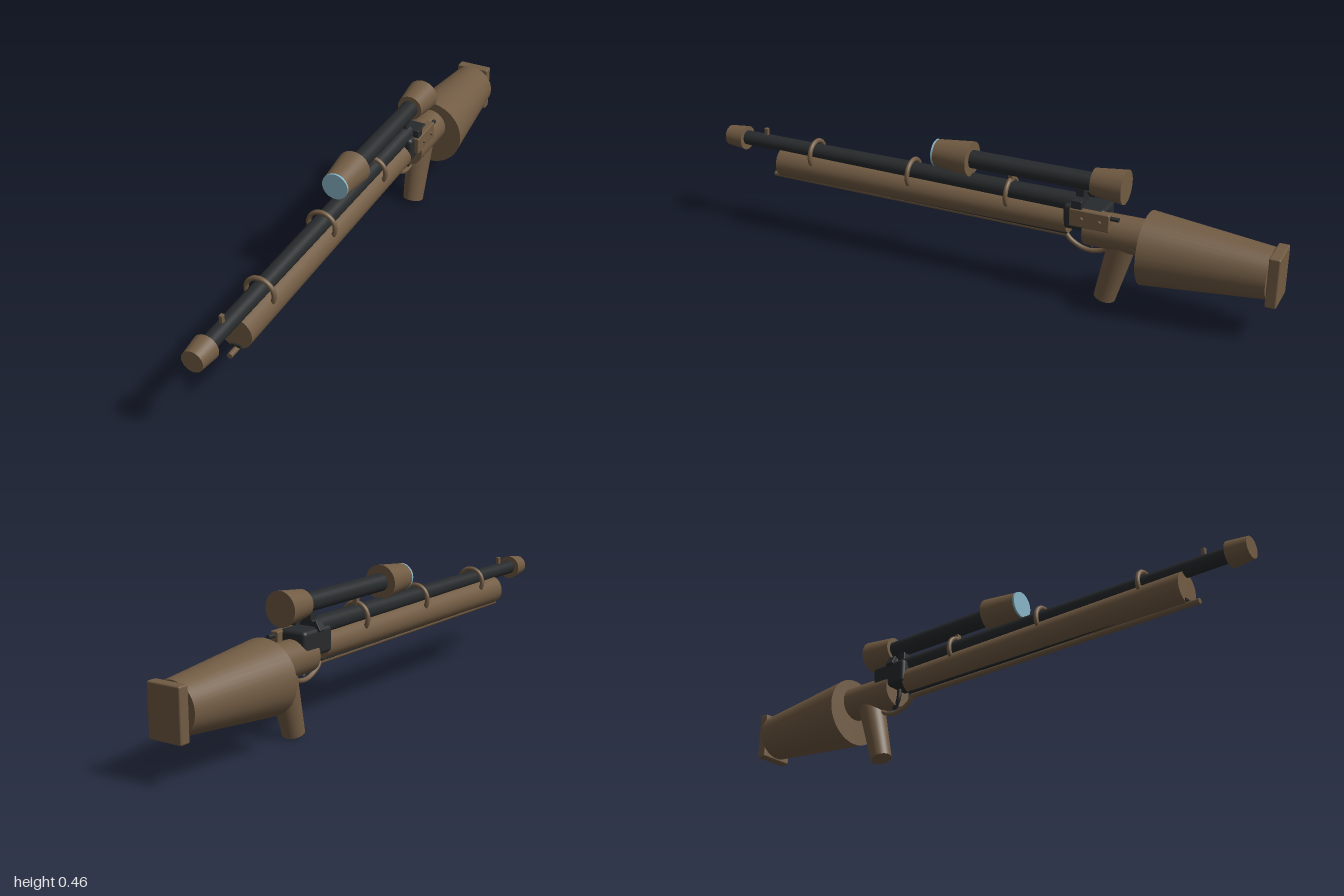
import * as THREE from 'three';
import { RoundedBoxGeometry } from 'three/addons/geometries/RoundedBoxGeometry.js';

export function createModel() {
  const model = new THREE.Group();
  model.name = 'scopedRifle';

  const mat = (name, color) => {
    const m = new THREE.MeshStandardMaterial({ color });
    m.name = name;
    return m;
  };
  const brown = mat('brown', 0x715b43);
  const black = mat('gunmetal', 0x272a2c);
  const glass = mat('lensBlue', 0x87b4c6);

  const add = (name, geometry, material, x = 0, y = 0, z = 0) => {
    const mesh = new THREE.Mesh(geometry, material);
    mesh.name = name;
    mesh.position.set(x, y, z);
    model.add(mesh);
    return mesh;
  };
  // Tapered round bar along z, from the front end to the back end
  const bar = (name, material, y, zFront, rFront, zBack, rBack, x = 0) =>
    add(name, new THREE.CylinderGeometry(rFront, rBack, zFront - zBack, 40).rotateX(Math.PI / 2),
      material, x, y, (zFront + zBack) / 2);
  const box = (name, material, w, h, d, x, y, z) =>
    add(name, new RoundedBoxGeometry(w, h, d, 2, Math.min(w, h, d) * 0.15), material, x, y, z);
  const tube = (name, material, points, radius) =>
    add(name, new THREE.TubeGeometry(
      new THREE.CatmullRomCurve3(points.map(p => new THREE.Vector3(...p))), 32, radius, 12), material);

  // Barrel, muzzle and front sight
  bar('barrel', black, 0.325, 0.94, 0.025, -0.36, 0.031);
  bar('muzzle', brown, 0.323, 1.0, 0.035, 0.93, 0.042);
  box('frontSight', brown, 0.012, 0.035, 0.014, 0, 0.357, 0.845);

  // Forearm with cleaning rod
  bar('forearm', brown, 0.262, 0.78, 0.053, -0.31, 0.046);
  box('rodChannel', black, 0.034, 0.01, 1.09, 0, 0.218, 0.24);
  bar('cleaningRod', brown, 0.207, 0.82, 0.009, -0.3, 0.009);

  // Barrel bands
  for (const z of [0.64, 0.26, -0.1]) {
    add('barrelBand', new THREE.TorusGeometry(0.047, 0.008, 12, 40), brown, 0, 0.314, z);
  }

  // Telescopic sight
  bar('scopeTube', black, 0.405, 0.06, 0.03, -0.42, 0.03);
  bar('scopeFrontBell', brown, 0.405, 0.165, 0.045, 0.04, 0.058);
  bar('scopeLens', glass, 0.405, 0.172, 0.045, 0.163, 0.045);
  bar('scopeEyepiece', brown, 0.407, -0.385, 0.044, -0.492, 0.056);
  box('scopeFrontMount', brown, 0.018, 0.04, 0.016, 0, 0.366, -0.1);
  box('scopeRearMount', black, 0.03, 0.06, 0.03, 0, 0.355, -0.345);

  // Receiver, action plate and bolt
  bar('receiver', brown, 0.247, -0.37, 0.058, -0.59, 0.06);
  box('actionBox', black, 0.1, 0.085, 0.14, -0.002, 0.29, -0.37);
  box('actionPlate', brown, 0.03, 0.06, 0.135, 0.048, 0.299, -0.395);
  for (const [y, z] of [[0.3, -0.37], [0.3, -0.43]]) {
    add('platePin', new THREE.CylinderGeometry(0.006, 0.006, 0.014, 16).rotateZ(Math.PI / 2),
      brown, 0.065, y, z);
  }
  bar('boltHandle', black, 0.315, -0.45, 0.007, -0.49, 0.007, 0.05);
  box('hammer', black, 0.022, 0.035, 0.035, 0.048, 0.339, -0.35);
  box('safetyLever', black, 0.014, 0.036, 0.03, -0.046, 0.338, -0.36).rotation.z = -0.5;

  // Grip, trigger and guard
  const grip = add('grip', new THREE.CylinderGeometry(0.047, 0.036, 0.235, 40), brown, 0, 0.123, -0.465);
  grip.rotation.x = -0.25;
  tube('trigger', black, [[0, 0.25, -0.36], [0, 0.21, -0.365], [0, 0.178, -0.385]], 0.008);
  tube('triggerGuard', brown,
    [[0, 0.215, -0.29], [0, 0.188, -0.315], [0, 0.167, -0.36], [0, 0.168, -0.405], [0, 0.19, -0.45]], 0.008);

  // Shoulder stock and butt plate
  bar('stock', brown, 0.216, -0.57, 0.12, -0.965, 0.081);
  box('buttPlate', brown, 0.12, 0.166, 0.036, 0, 0.211, -0.982);

  return model;
}
